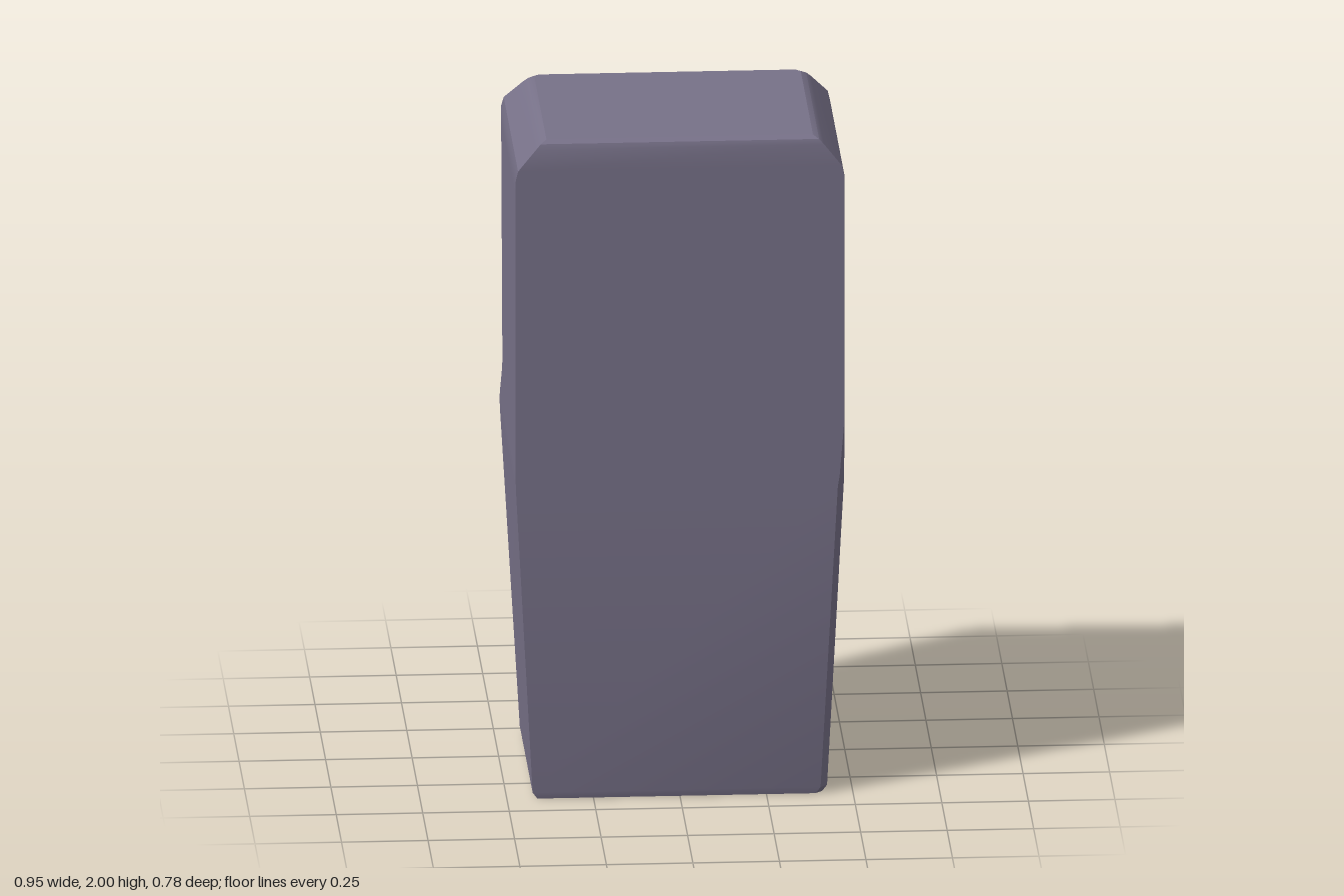
import * as THREE from 'three';
import { toCreasedNormals } from 'three/addons/utils/BufferGeometryUtils.js';

const material = (name, color) => {
  const m = new THREE.MeshStandardMaterial({ color });
  m.name = name;
  return m;
};

// Skin closed rings of [x, y, z] points; skip(level, edge) leaves an opening.
function loft(rings, capped, skip = () => false) {
  const n = rings[0].length, index = [];
  for (let r = 0; r < rings.length - 1; r++) {
    for (let i = 0; i < n; i++) {
      if (skip(r, i)) continue;
      const a = r * n + i, b = r * n + (i + 1) % n;
      index.push(a, a + n, b, b, a + n, b + n);
    }
  }
  if (capped) {
    const top = (rings.length - 1) * n;
    for (let i = 1; i < n - 1; i++) {
      index.push(0, i, i + 1, top, top + i + 1, top + i);
    }
  }
  const g = new THREE.BufferGeometry();
  g.setAttribute('position', new THREE.Float32BufferAttribute(rings.flat(2), 3));
  g.setIndex(index);
  return toCreasedNormals(g, 0.4);
}

export function createModel() {
  const body = material('cabinet purple grey', 0x777188);
  const green = material('screen green', 0x7ea87b);
  const grey = material('key grey', 0x979599);

  const group = new THREE.Group();
  const add = (parent, name, geometry, mat) => {
    const mesh = new THREE.Mesh(geometry, mat);
    mesh.name = name;
    parent.add(mesh);
    return mesh;
  };

  // Screen opening in the leaning upper panel
  const halfW = 0.39, low = 1.22, high = 1.83;
  const panelZ = y => -0.247 - (y - low) * 0.082;

  // Cabinet levels: height, half width, panel z, panel edge bevel, rear z, rear edge bevel
  const levels = [
    [0, 0.412, -0.215, 0.02, 0.39, 0.02],
    [0.02, 0.426, -0.238, 0.025, 0.395, 0.02],
    [0.935, 0.474, -0.387, 0.025, 0.395, 0.018],
    [0.965, 0.475, -0.389, 0.025, 0.395, 0.014],
    [0.99, 0.475, -0.372, 0.02, 0.395, 0.012],
    [1.1, 0.475, -0.255, 0.01, 0.395, 0.003],
    [1.13, 0.475, -0.24, 0.008, 0.395, 0.001],
    [1.16, 0.475, panelZ(1.16), 0.008, 0.395, 0.001],
    [low, 0.475, panelZ(low), 0.008, 0.395, 0.001],
    [high, 0.475, panelZ(high), 0.008, 0.395, 0.001],
    [1.88, 0.475, -0.302, 0.008, 0.395, 0.001],
    [1.91, 0.468, -0.296, 0.012, 0.395, 0.001],
    [1.975, 0.416, -0.242, 0.015, 0.395, 0.001],
    [1.99, 0.402, -0.228, 0.015, 0.39, 0.001],
    [2, 0.385, -0.213, 0.015, 0.375, 0.001],
  ];
  const rings = levels.map(([y, w, f, c, back, b]) => {
    const o = Math.min(halfW, w - c - 0.005);
    return [
      [-w, y, back], [-w, y, f + c], [-w + c, y, f], [-o, y, f], [o, y, f],
      [w - c, y, f], [w, y, f + c], [w, y, back - b], [w - b, y, back],
    ];
  });
  const openLevel = levels.findIndex(l => l[0] === low);
  add(group, 'cabinet', loft(rings, true, (r, i) => r === openLevel && i === 3), body);

  // Walls of the screen recess
  const corners = [[halfW, high], [-halfW, high], [-halfW, low], [halfW, low]];
  const recess = [0, 0.13].map(d => corners.map(([x, y]) => [x, y, panelZ(y) + d]));
  add(group, 'screenRecess', loft(recess, false), body);

  // Bulging screen
  const halfH = (high - low) / 2, midY = (high + low) / 2;
  const screen = new THREE.PlaneGeometry(halfW * 2, halfH * 2, 16, 12);
  screen.rotateY(Math.PI);
  const p = screen.attributes.position;
  for (let i = 0; i < p.count; i++) {
    const u = p.getX(i) / halfW, v = p.getY(i) / halfH, y = p.getY(i) + midY;
    p.setXYZ(i, p.getX(i), y, panelZ(y) + 0.115 - 0.03 * (1 - u * u) - 0.025 * (1 - v * v));
  }
  screen.computeVertexNormals();
  add(group, 'screen', screen, green);

  // Two staggered rows of keys on the sloping shelf
  const keyboard = new THREE.Group();
  keyboard.name = 'keyboard';
  keyboard.position.set(0, 1.045, -0.3135);
  keyboard.rotation.x = -0.755;
  group.add(keyboard);
  const keyShape = new THREE.BoxGeometry(0.053, 0.026, 0.053);
  for (const [count, start, z] of [[9, -0.328, -0.048], [8, -0.283, 0.024]]) {
    for (let i = 0; i < count; i++) {
      add(keyboard, 'key', keyShape, grey).position.set(start + i * 0.0808, 0, z);
    }
  }
  return group;
}
